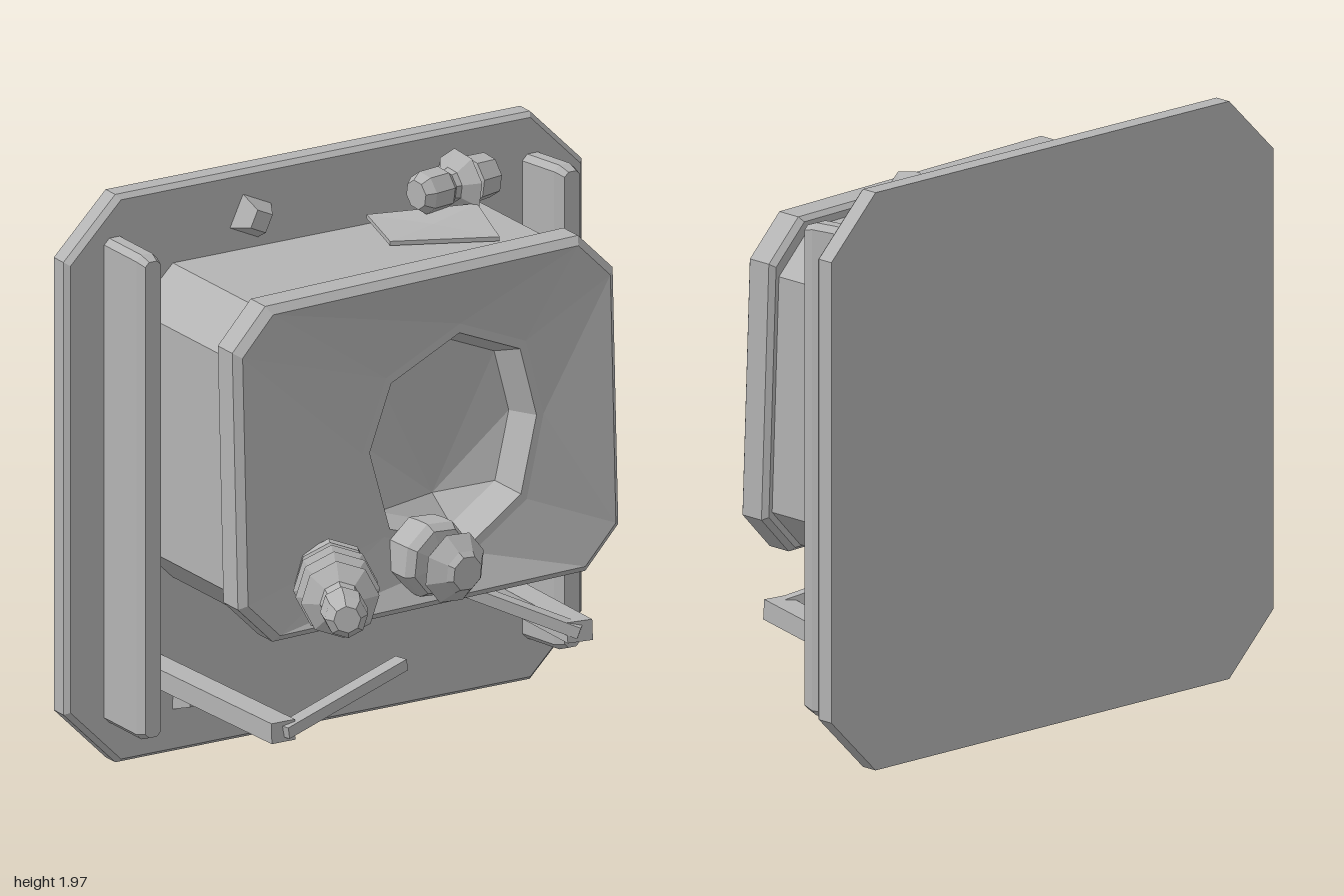
import * as THREE from 'three';

const grey = new THREE.MeshStandardMaterial({ color: 0xb4b4b4, flatShading: true });
grey.name = 'grey';

const V = (x, y, z) => new THREE.Vector3(x, y, z);

// Counter-clockwise octagon (chamfered rectangle); z may be a number or a rule of x, y
function octagon(cx, cy, hw, hh, c, z) {
  const pts = [[hw - c, hh], [c - hw, hh], [-hw, hh - c], [-hw, c - hh],
    [c - hw, -hh], [hw - c, -hh], [hw, c - hh], [hw, hh - c]];
  return pts.map(([x, y]) => V(cx + x, cy + y, typeof z === 'number' ? z : z(cx + x, cy + y)));
}

const point = (p, n) => Array.from({ length: n }, () => p);

function middle(loop) {
  return loop.reduce((s, p) => s.add(p), V(0, 0, 0)).divideScalar(loop.length);
}

// Skin a series of loops, optionally closing either end
function loft(name, loops, capBack = false, capFront = false) {
  const n = loops[0].length;
  const all = [...loops];
  if (capBack) all.unshift(point(middle(loops[0]), n));
  if (capFront) all.push(point(middle(loops[loops.length - 1]), n));
  const pos = [];
  const tri = (a, b, c) => {
    if (a.equals(b) || b.equals(c) || a.equals(c)) return;
    for (const p of [a, b, c]) pos.push(p.x, p.y, p.z);
  };
  for (let k = 0; k + 1 < all.length; k++) {
    for (let i = 0; i < n; i++) {
      const j = (i + 1) % n;
      tri(all[k][i], all[k][j], all[k + 1][j]);
      tri(all[k][i], all[k + 1][j], all[k + 1][i]);
    }
  }
  const g = new THREE.BufferGeometry();
  g.setAttribute('position', new THREE.Float32BufferAttribute(pos, 3));
  g.computeVertexNormals();
  return named(name, g);
}

function named(name, geometry) {
  const m = new THREE.Mesh(geometry, grey);
  m.name = name;
  return m;
}

// Eight-sided turned part running from one point towards another
function turned(name, profile, from, to) {
  const g = new THREE.LatheGeometry(profile.map(([r, t]) => new THREE.Vector2(r, t)), 8, Math.PI / 8);
  const m = named(name, g);
  m.position.copy(from);
  m.quaternion.setFromUnitVectors(V(0, 1, 0), to.clone().sub(from).normalize());
  return m;
}

// Square bar between two points
function bar(name, a, b, w, h) {
  const m = named(name, new THREE.BoxGeometry(w, h, a.distanceTo(b)));
  m.position.copy(a).add(b).multiplyScalar(0.5);
  m.lookAt(b);
  return m;
}

export function createModel() {
  const model = new THREE.Group();
  model.name = 'wallUnit';

  // Back plate with a small front bevel
  model.add(loft('backPlate', [
    octagon(0, 0.985, 1, 0.985, 0.2, -0.66),
    octagon(0, 0.985, 1, 0.985, 0.2, -0.6),
    octagon(0, 0.985, 0.985, 0.97, 0.195, -0.58),
  ], true, true));

  // Side rails; the left one leans outwards
  for (const [name, x, lean, z] of [['rightRail', -0.815, 0, -0.34], ['leftRail', 0.795, 0.04, -0.39]]) {
    model.add(loft(name, [
      octagon(x, 0.99, 0.04, 0.84, 0.02, -0.6),
      octagon(x + lean * 0.85, 0.99, 0.04, 0.84, 0.02, z - 0.04),
      octagon(x + lean, 0.99, 0.03, 0.825, 0.015, z),
    ], true, true));
  }

  // Housing, cut at the front by the tilted frame
  const tilt = (d) => (x, y) => d - 0.055 * x - 0.04 * (y - 1.17);
  model.add(loft('housing', [
    octagon(0, 1.155, 0.73, 0.545, 0.14, -0.6),
    octagon(0, 1.155, 0.73, 0.545, 0.14, tilt(-0.06)),
  ]));

  // Frame rim
  const rim = octagon(0, 1.165, 0.735, 0.55, 0.125, tilt(0.065));
  model.add(loft('frontFrame', [
    octagon(0, 1.155, 0.71, 0.525, 0.14, tilt(-0.07)),
    octagon(0, 1.165, 0.745, 0.56, 0.13, tilt(-0.07)),
    octagon(0, 1.165, 0.76, 0.575, 0.135, tilt(-0.05)),
    octagon(0, 1.165, 0.76, 0.575, 0.135, tilt(0.04)),
    rim,
  ]));

  // Sunken face falling to the lip of the opening, then the faceted cup
  const ring = [[0.44, 1.4], [0.18, 1.51], [-0.12, 1.38], [-0.22, 1.14],
    [-0.14, 0.84], [0.21, 0.72], [0.43, 0.86], [0.505, 1.14]];
  const ringLoop = (s, cx, cy, d) => ring.map(([x, y]) => {
    const px = cx + (x - cx) * s, py = cy + (y - cy) * s;
    return V(px, py, tilt(d)(px, py));
  });
  const lip = ringLoop(1, 0.145, 1.12, -0.01);
  const inner = ringLoop(0.92, 0.145, 1.12, -0.01);
  const floor = ringLoop(0.82, 0.19, 1.05, -0.14);
  model.add(loft('sunkenFace', [rim, lip]));
  model.add(loft('openingLip', [lip, inner]));
  model.add(loft('cup', [inner, floor, point(V(0.2, 0.86, -0.24), 8)]));

  // Long ribbed plug
  model.add(turned('ribbedPlug', [
    [0, -0.03], [0.12, -0.03], [0.13, 0], [0.13, 0.06], [0.09, 0.08], [0.09, 0.1],
    [0.14, 0.14], [0.085, 0.18], [0.085, 0.2], [0.14, 0.24], [0.085, 0.28], [0.085, 0.3],
    [0.13, 0.34], [0.07, 0.38], [0.06, 0.48], [0.078, 0.49], [0.072, 0.6], [0.045, 0.645], [0, 0.645],
  ], V(-0.39, 0.77, 0.09), V(-0.68, 0.84, 0.65)));

  // Short plug at the lower edge
  model.add(turned('shortPlug', [
    [0, -0.05], [0.13, -0.05], [0.135, 0], [0.135, 0.05], [0.115, 0.08], [0.07, 0.09],
    [0.07, 0.11], [0.125, 0.15], [0.075, 0.2], [0.06, 0.22], [0, 0.22],
  ], V(0, 0.765, 0.05), V(0.02, 0.76, 0.25)));

  // Plug lying above the housing
  model.add(turned('topPlug', [
    [0, 0], [0.075, 0], [0.08, 0.08], [0.06, 0.085], [0.115, 0.12], [0.06, 0.16],
    [0.055, 0.18], [0.072, 0.2], [0.072, 0.28], [0.05, 0.31], [0, 0.31],
  ], V(0.565, 1.825, -0.485), V(0.26, 1.825, -0.435)));

  // Bent flap on top of the housing
  const flap = [V(0.14, 1.73, -0.55), V(0.1, 1.705, -0.34), V(0.43, 1.705, -0.19), V(0.46, 1.76, -0.38)];
  model.add(loft('topFlap', [flap, flap.map((p) => p.clone().add(V(0, 0.015, 0)))], true, true));

  // Four-sided studs on the back plate
  for (const [x, y, r, turn] of [[-0.29, 1.81, 0.09, 0.35], [-0.54, 0.2, 0.075, 0.75], [0.61, 0.47, 0.095, 0.4]]) {
    const g = new THREE.CylinderGeometry(r * 0.5, r, 0.08, 4);
    g.rotateX(Math.PI / 2);
    const stud = named('stud', g);
    stud.position.set(x, y, -0.55);
    stud.rotation.z = turn;
    model.add(stud);
  }

  // Two bent brackets below the housing
  const brackets = [
    ['rightBracket', V(-0.68, 0.315, -0.6), V(-0.69, 0.34, 0.27), V(-0.14, 0.435, 0.12)],
    ['leftBracket', V(0.7, 0.325, -0.6), V(0.61, 0.38, 0.02), V(0.25, 0.54, -0.28)],
  ];
  for (const [name, root, elbow, end] of brackets) {
    const group = new THREE.Group();
    group.name = name;
    group.add(bar('leg', root, elbow, 0.09, 0.07), bar('arm', elbow, end, 0.05, 0.04));
    model.add(group);
  }

  return model;
}
